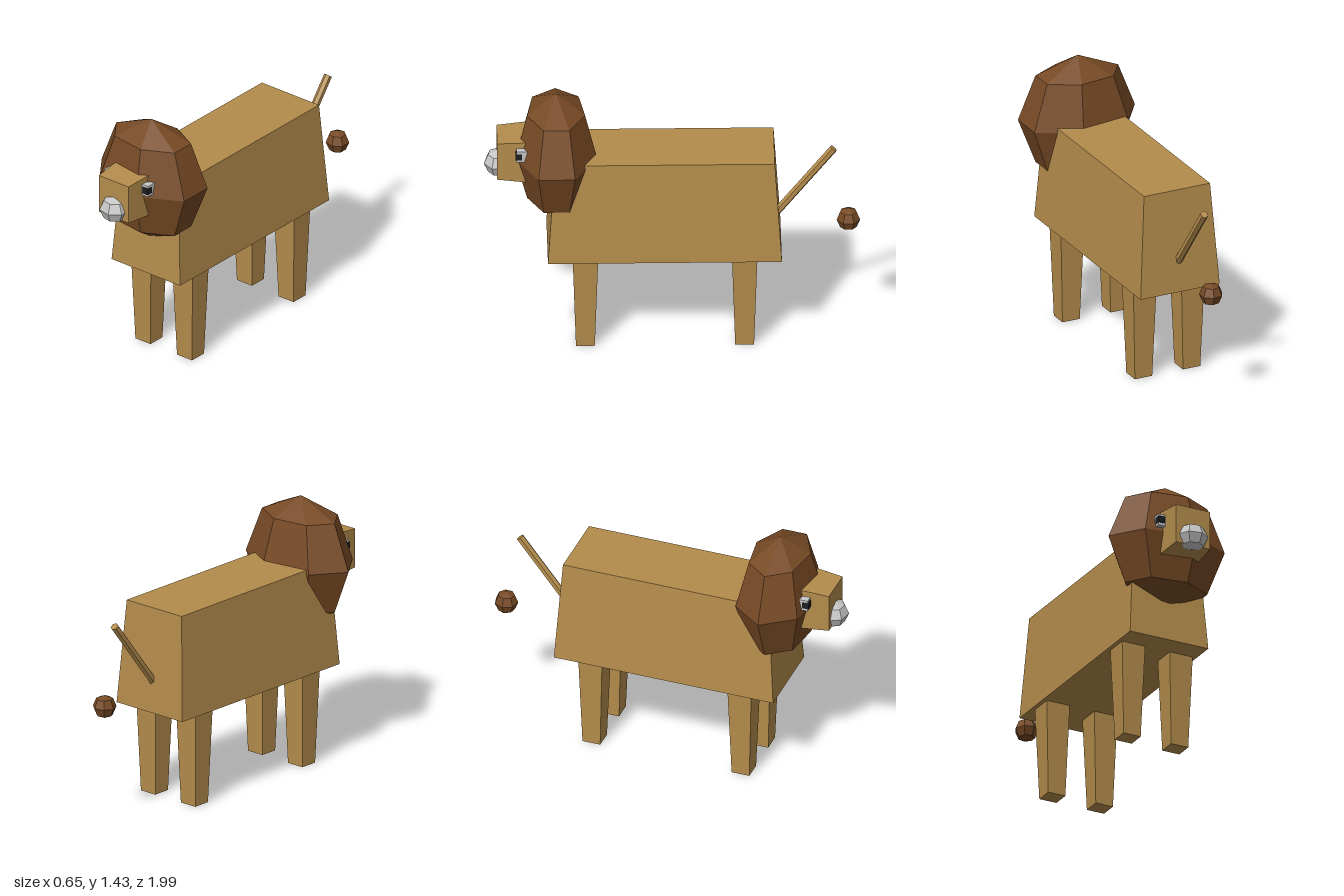
import * as THREE from 'three';

const material = (name, color) => {
  const m = new THREE.MeshStandardMaterial({ color });
  m.name = name;
  return m;
};

export function createModel() {
  const tan = material('tan fur', 0xb48c4c);
  const brown = material('brown mane', 0x774a25);
  const grey = material('light grey', 0xc6c6c6);
  const black = material('black', 0x1c1e22);

  const model = new THREE.Group();
  model.name = 'lion';
  const MID = 0.015; // the body's own centre line

  function add(name, geometry, mat, x, y, z) {
    const flat = geometry.index ? geometry.toNonIndexed() : geometry;
    flat.computeVertexNormals();
    const mesh = new THREE.Mesh(flat, mat);
    mesh.name = name;
    mesh.position.set(x, y, z);
    model.add(mesh);
    return mesh;
  }

  // Box whose +axis end is scaled by [a, b] on the two other axes
  function taperedBox(w, h, d, axis, a, b) {
    const g = new THREE.BoxGeometry(w, h, d);
    const p = g.attributes.position;
    for (let i = 0; i < p.count; i++) {
      if (axis === 'y' && p.getY(i) > 0) {
        p.setX(i, p.getX(i) * a);
        p.setZ(i, p.getZ(i) * b);
      } else if (axis === 'z' && p.getZ(i) > 0) {
        p.setX(i, p.getX(i) * a);
        p.setY(i, p.getY(i) * b);
      }
    }
    return g;
  }

  // Coarse faceted ball
  const ball = (rx, ry, rz) => new THREE.SphereGeometry(1, 7, 4).scale(rx, ry, rz);

  // Body, narrower at the back line
  add('body', taperedBox(0.47, 0.575, 1.24, 'y', 0.835, 0.94), tan, MID, 0.8125, 0.04);

  // Four legs, widening towards the body
  for (const [end, z] of [['front', 0.461], ['back', -0.383]]) {
    for (const [side, s] of [['Left', 1], ['Right', -1]]) {
      add(end + side + 'Leg', taperedBox(0.103, 0.525, 0.1, 'y', 1.34, 1.34), tan, MID + s * 0.143, 0.2625, z);
    }
  }

  // Head: mane, face block and muzzle
  add('mane', ball(0.34, 0.353, 0.223), brown, MID, 1.077, 0.614);
  add('face', taperedBox(0.24, 0.25, 0.22, 'z', 0.85, 0.872), tan, MID, 1.076, 0.817);
  add('muzzle', ball(0.086, 0.073, 0.078), grey, MID, 1.018, 0.92);

  // Eyes on both sides of the face
  for (const [side, s] of [['left', 1], ['right', -1]]) {
    add(side + 'Eye', new THREE.BoxGeometry(0.062, 0.064, 0.065), grey, MID + s * 0.121, 1.13, 0.792);
    add(side + 'Pupil', new THREE.BoxGeometry(0.036, 0.036, 0.036), black, MID + s * 0.136, 1.131, 0.813);
  }

  // Tail rod leaning back and up
  const from = new THREE.Vector3(MID - 0.002, 0.69, -0.55);
  const to = new THREE.Vector3(MID - 0.002, 1.08, -0.858);
  const dir = to.clone().sub(from);
  const centre = from.clone().add(to).multiplyScalar(0.5);
  const tail = add('tail', new THREE.CylinderGeometry(0.022, 0.022, dir.length(), 6), tan, centre.x, centre.y, centre.z);
  tail.quaternion.setFromUnitVectors(new THREE.Vector3(0, 1, 0), dir.normalize());

  // Tuft hanging behind the tail
  add('tailTuft', ball(0.064, 0.064, 0.064), brown, MID - 0.002, 0.651, -0.936);

  return model;
}
